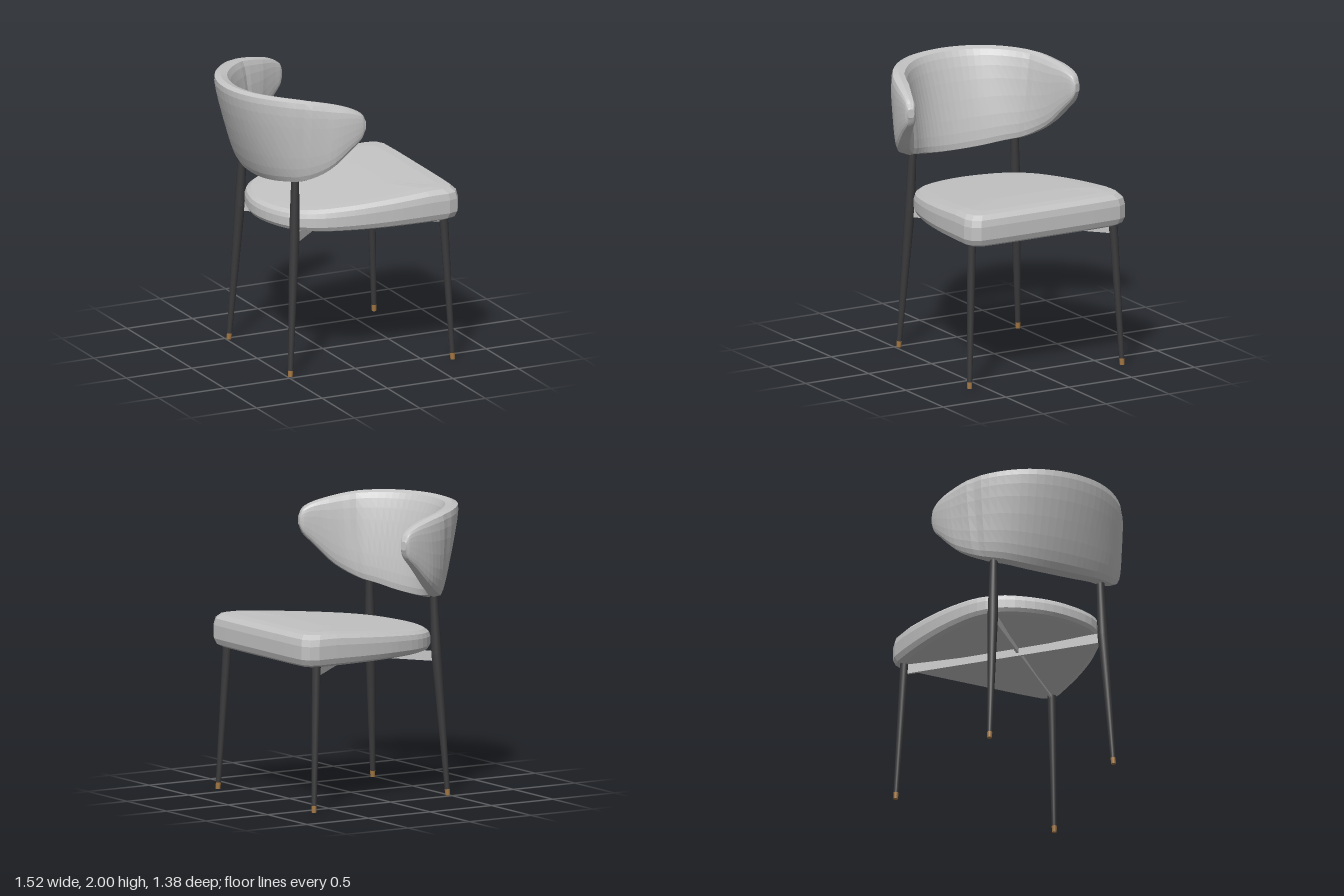
import * as THREE from 'three';

const V = (x, y, z) => new THREE.Vector3(x, y, z);

// Faceted skin over equal-length rings of points, closed with a fan at each end
function loft(rings) {
  const n = rings[0].length, pos = [], idx = [];
  rings.forEach(r => r.forEach(p => pos.push(p.x, p.y, p.z)));
  for (let i = 0; i < rings.length - 1; i++) {
    for (let j = 0; j < n; j++) {
      const k = (j + 1) % n;
      const a = i * n + j, b = i * n + k, c = a + n, d = b + n;
      idx.push(a, b, d, a, d, c);
    }
  }
  [0, rings.length - 1].forEach((i, end) => {
    const mid = rings[i].reduce((s, p) => s.add(p), V(0, 0, 0)).divideScalar(n);
    const m = pos.length / 3;
    pos.push(mid.x, mid.y, mid.z);
    for (let j = 0; j < n; j++) {
      const a = i * n + j, b = i * n + (j + 1) % n;
      if (end) idx.push(m, a, b); else idx.push(m, b, a);
    }
  });
  const g = new THREE.BufferGeometry();
  g.setAttribute('position', new THREE.Float32BufferAttribute(pos, 3));
  g.setIndex(idx);
  const flat = g.toNonIndexed();
  flat.computeVertexNormals();
  return flat;
}

// Seat cushion: rounded plan outline, stacked with insets at the edges
function seatGeometry() {
  const half = [[0.765, 0.2], [0.762, 0.45], [0.75, 0.58], [0.7, 0.625], [0.6, 0.63], [0.4, 0.622],
    [0.2, 0.603], [-0.05, 0.557], [-0.28, 0.475], [-0.42, 0.35], [-0.49, 0.18]];
  const pts = [V(0.765, 0, 0), ...half.map(([x, z]) => V(x, 0, -z)),
    V(-0.515, 0, 0), ...half.slice().reverse().map(([x, z]) => V(x, 0, z))];
  const outline = new THREE.CatmullRomCurve3(pts, true).getSpacedPoints(64).slice(0, 64);
  const layers = [[0.35, -0.08], [0.05, 0], [0.015, 0.08], [0, 0.25], [0, 0.65], [0.01, 0.85], [0.04, 0.98], [0.12, 1], [0.4, 1]];
  return loft(layers.map(([inset, v]) => outline.map(p => {
    const x = p.x - (p.x - 0.13) / 0.64 * inset;
    const z = p.z * (1 - inset / 0.63);
    const top = Math.min(1.14 + 0.088 * (x + 0.5), 1.23);
    return V(x, 1 + (top - 1) * v, z);
  })));
}

// Backrest: upright rounded sections swept around a horseshoe and leaning outward
function backrestGeometry() {
  // top x, z, y; bottom x, z, y; thickness
  const half = [
    [-0.718, 0, 2.0, -0.498, 0, 1.33, 0.14],
    [-0.675, 0.215, 2.0, -0.485, 0.18, 1.337, 0.14],
    [-0.562, 0.388, 1.998, -0.445, 0.34, 1.36, 0.14],
    [-0.39, 0.532, 1.985, -0.37, 0.47, 1.39, 0.14],
    [-0.2, 0.605, 1.95, -0.24, 0.58, 1.48, 0.13],
    [-0.09, 0.64, 1.915, -0.1, 0.635, 1.625, 0.1],
    [-0.025, 0.655, 1.875, -0.025, 0.652, 1.705, 0.075],
    [0, 0.662, 1.825, 0, 0.662, 1.765, 0.045]];
  const flip = ([a, b, c, d, e, f, t]) => [a, -b, c, d, -e, f, t];
  const all = [...half.slice(1).reverse().map(flip), ...half];
  const spans = all.length - 1, steps = spans * 4, sides = 20, rings = [];
  const top = new THREE.CatmullRomCurve3(all.map(s => V(s[0], s[2], s[1])));
  const bottom = new THREE.CatmullRomCurve3(all.map(s => V(s[3], s[5], s[4])));
  const soft = (v, e) => Math.sign(v) * Math.abs(v) ** e;
  for (let i = 0; i <= steps; i++) {
    const t = i / steps, f = i / 4, k = Math.min(Math.floor(f), spans - 1);
    const a = top.getPoint(t), b = bottom.getPoint(t);
    const tan = top.getTangent(t).add(bottom.getTangent(t)).setY(0).normalize();
    let thick = THREE.MathUtils.lerp(all[k][6], all[k + 1][6], f - k);
    if (i === 16 || i === 40) thick -= 0.016; // seam where the wings begin
    const ring = [];
    for (let j = 0; j < sides; j++) {
      const q = j / sides * Math.PI * 2;
      const p = b.clone().lerp(a, 0.5 + 0.5 * soft(Math.cos(q), 0.85));
      const o = thick / 2 * soft(Math.sin(q), 0.4);
      ring.push(V(p.x - tan.z * o, p.y, p.z + tan.x * o));
    }
    rings.push(ring);
  }
  return loft(rings);
}

export function createModel() {
  const group = new THREE.Group();
  const upholstery = new THREE.MeshStandardMaterial({ color: 0xc4c4c4 });
  upholstery.name = 'grey upholstery';
  const metal = new THREE.MeshStandardMaterial({ color: 0x3a3a3c });
  metal.name = 'dark metal';
  const brass = new THREE.MeshStandardMaterial({ color: 0xa57844 });
  brass.name = 'brass';

  const add = (name, geometry, material) => {
    const m = new THREE.Mesh(geometry, material);
    m.name = name;
    group.add(m);
    return m;
  };
  // Tapered rod from a up to b
  const rod = (name, a, b, ra, rb, material) => {
    const dir = b.clone().sub(a);
    const m = add(name, new THREE.CylinderGeometry(rb, ra, dir.length(), 12), material);
    m.position.copy(a).add(b).multiplyScalar(0.5);
    m.quaternion.setFromUnitVectors(V(0, 1, 0), dir.normalize());
  };

  add('seat', seatGeometry(), upholstery);
  add('backrest', backrestGeometry(), upholstery);

  for (const s of [1, -1]) {
    // Front leg with brass tip
    const f0 = V(0.692, 0, 0.607 * s), f1 = V(0.643, 1.03, 0.562 * s);
    const fTip = f0.clone().lerp(f1, 0.045);
    rod('frontLegTip', f0, fTip, 0.016, 0.018, brass);
    rod('frontLeg', fTip, f1, 0.018, 0.031, metal);

    // Back leg rises past the seat to carry the backrest
    const b0 = V(-0.482, 0, 0.474 * s), b1 = V(-0.425, 0.98, 0.42 * s), b2 = V(-0.41, 1.46, 0.405 * s);
    const bTip = b0.clone().lerp(b1, 0.045);
    rod('backLegTip', b0, bTip, 0.016, 0.018, brass);
    rod('backLeg', bTip, b1, 0.018, 0.036, metal);
    rod('backrestPost', b1, b2, 0.036, 0.026, metal);

    // Crossed brace under the seat, from a front leg to the opposite back leg
    const from = V(0.643, 0.965, 0.56 * s), to = V(-0.42, 0.965, -0.42 * s);
    const plate = new THREE.BoxGeometry(from.distanceTo(to), 0.07, 0.016);
    if (s > 0) { // this brace tapers toward its front end
      const p = plate.attributes.position;
      for (let i = 0; i < p.count; i++) if (p.getX(i) > 0 && p.getY(i) < 0) p.setY(i, 0.015);
    }
    const brace = add('crossBrace', plate, upholstery);
    brace.position.copy(from).add(to).multiplyScalar(0.5);
    brace.rotation.y = -Math.atan2(from.z - to.z, from.x - to.x);
  }
  return group;
}
